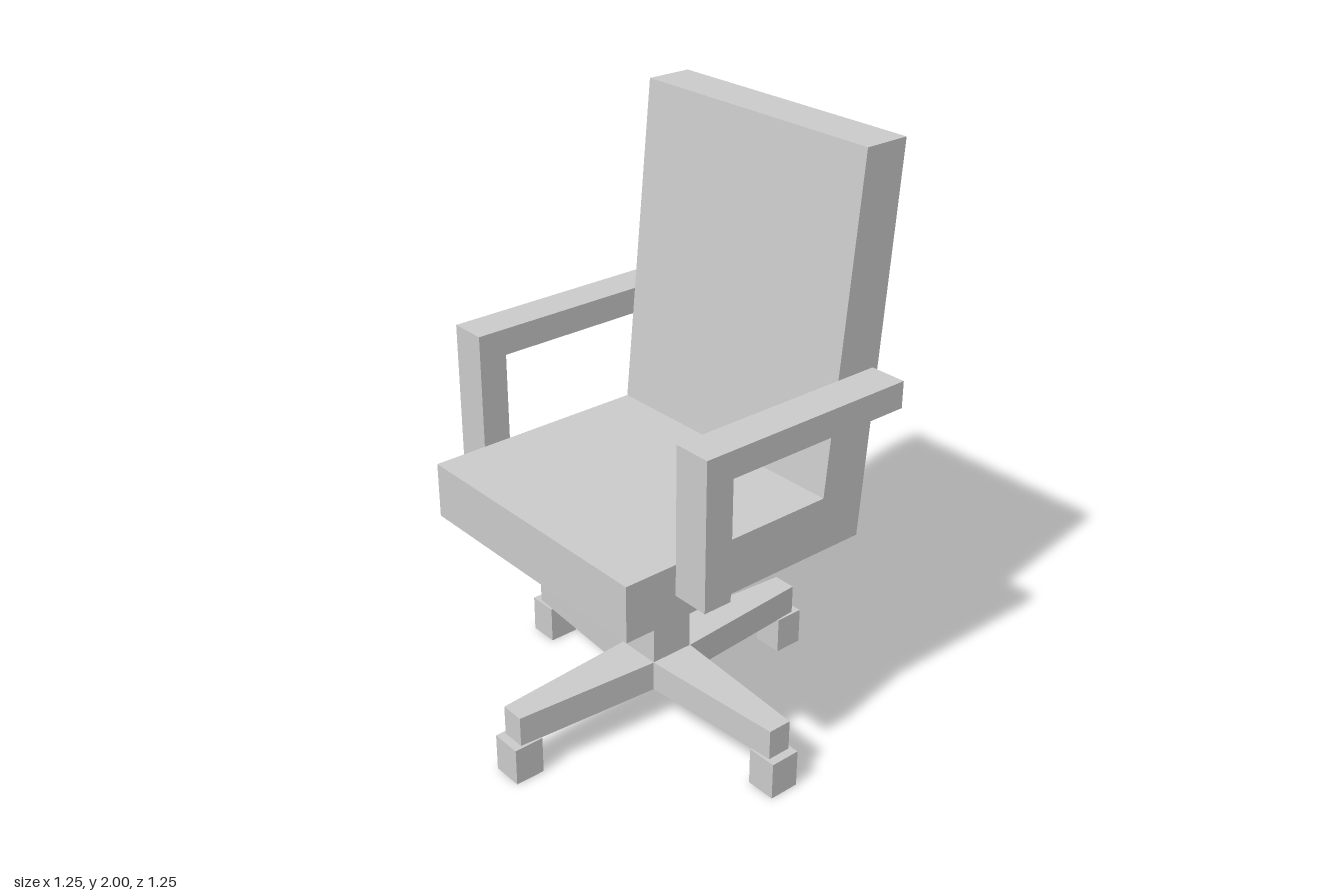
import * as THREE from 'three';

const material = new THREE.MeshStandardMaterial({ color: 0xcccccc, flatShading: true });

function add(parent, name, geometry, x = 0, y = 0, z = 0) {
  const mesh = new THREE.Mesh(geometry, material);
  mesh.name = name;
  mesh.position.set(x, y, z);
  parent.add(mesh);
  return mesh;
}

// Extrudes a side outline, given as [z, y] points, across the width x0..x1
function sideExtrude(points, x0, x1) {
  const shape = new THREE.Shape(points.map(([z, y]) => new THREE.Vector2(-z, y)));
  return new THREE.ExtrudeGeometry(shape, { depth: x1 - x0, bevelEnabled: false })
    .rotateY(Math.PI / 2)
    .translate(x0, 0, 0);
}

// Square column section with half-widths at top and bottom
function squareColumn(top, bottom, height, openEnded) {
  return new THREE.CylinderGeometry(top * Math.SQRT2, bottom * Math.SQRT2, height, 4, 1, openEnded)
    .rotateY(Math.PI / 4);
}

export function createModel() {
  const chair = new THREE.Group();
  chair.name = 'officeChair';

  // Seat and reclined backrest in one L-shaped block
  add(chair, 'seatAndBack', sideExtrude([
    [0.515, 0.715], [0.515, 0.905], [-0.27, 0.905],
    [-0.375, 2], [-0.535, 2], [-0.43, 0.715],
  ], -0.48, 0.475));

  // Armrests: front post with a bar running back
  const arm = [
    [0.33, 0.8], [0.33, 1.295], [-0.455, 1.295],
    [-0.455, 1.205], [0.23, 1.205], [0.23, 0.8],
  ];
  add(chair, 'leftArmrest', sideExtrude(arm, 0.475, 0.602));
  add(chair, 'rightArmrest', sideExtrude(arm, -0.608, -0.48));

  // Central column with a slight flare under the seat
  add(chair, 'column', squareColumn(0.075, 0.08, 0.55, true), -0.002, 0.405, 0);
  add(chair, 'columnCollar', squareColumn(0.082, 0.075, 0.035, false), -0.002, 0.6975, 0);

  // Four tapered legs forming a cross, with a block caster under each tip
  const cross = new THREE.Shape();
  for (let i = 0; i < 4; i++) {
    for (const [x, y] of [[0.08, -0.08], [0.598, -0.042], [0.598, 0.042]]) {
      const p = new THREE.Vector2(x, y).rotateAround(new THREE.Vector2(), i * Math.PI / 2);
      if (i === 0 && x === 0.08) cross.moveTo(p.x, p.y);
      else cross.lineTo(p.x, p.y);
    }
    const caster = add(chair, 'caster', new THREE.BoxGeometry(0.105, 0.132, 0.107));
    const angle = i * Math.PI / 2;
    caster.position.set(0.575 * Math.cos(angle) - 0.002, 0.066, 0.575 * Math.sin(angle));
    caster.rotation.y = -angle;
  }
  const base = new THREE.ExtrudeGeometry(cross, { depth: 0.107, bevelEnabled: false })
    .rotateX(-Math.PI / 2);
  add(chair, 'crossBase', base, -0.002, 0.131, 0);

  return chair;
}
